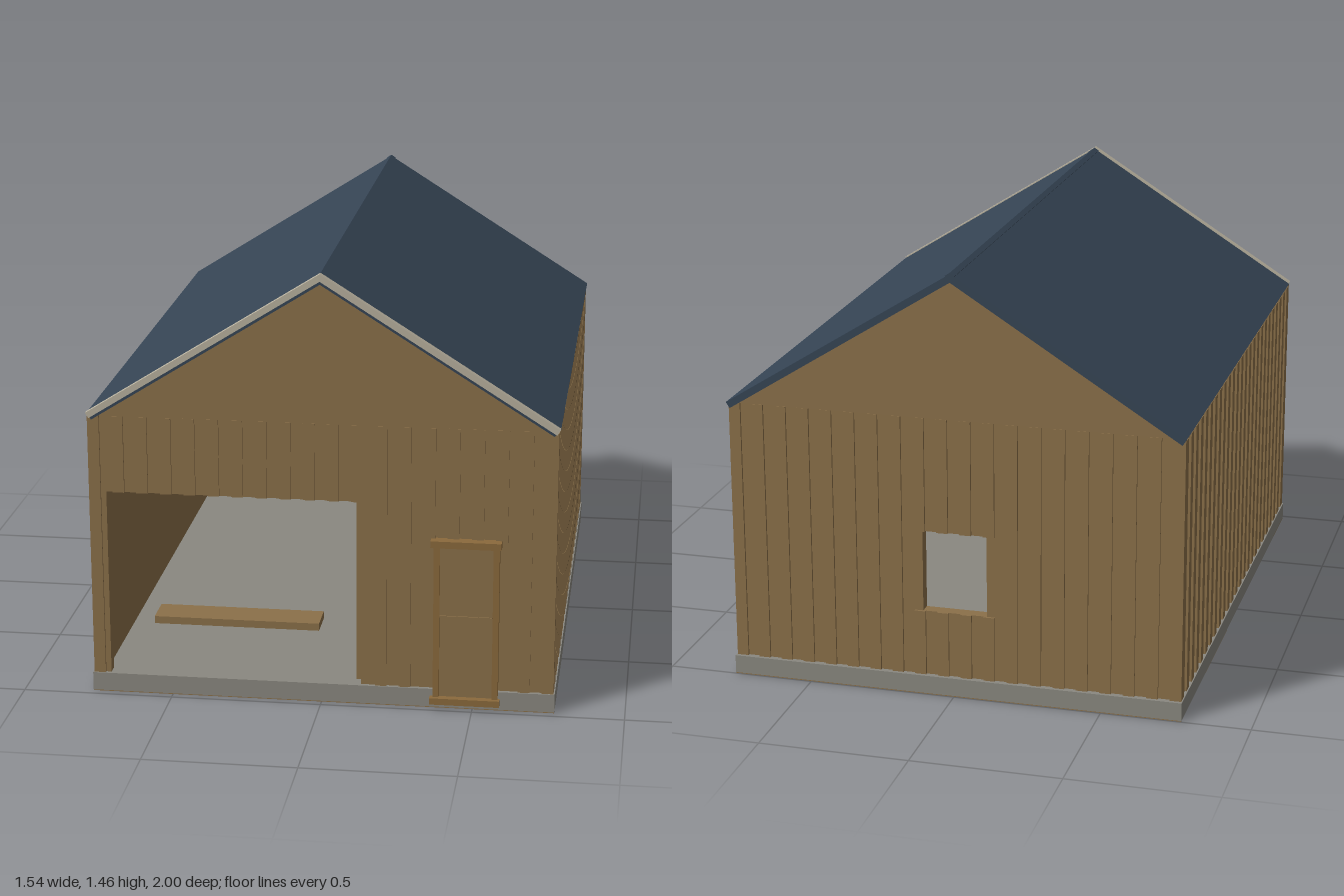
import * as THREE from 'three';

const mat = (name, color, side = THREE.FrontSide) => {
  const m = new THREE.MeshStandardMaterial({ color, side });
  m.name = name;
  return m;
};

export function createModel() {
  const house = new THREE.Group();
  house.name = 'timberShed';
  const wood = mat('wood', 0x8b7049);
  const doorWood = mat('doorWood', 0x8b6a3c);
  const stone = mat('concrete', 0x8a8880);
  const slate = mat('roofBlue', 0x354454);
  const cream = mat('creamTrim', 0xb8b19e);

  const add = (name, geo, material, parent = house) => {
    const mesh = new THREE.Mesh(geo, material);
    mesh.name = name;
    parent.add(mesh);
    return mesh;
  };
  // Box given by its lower and upper limits on each axis
  const box = (name, m, x0, x1, y0, y1, z0, z1, parent) => {
    const g = new THREE.BoxGeometry(x1 - x0, y1 - y0, z1 - z0);
    g.translate((x0 + x1) / 2, (y0 + y1) / 2, (z0 + z1) / 2);
    return add(name, g, m, parent);
  };
  // Outline in x,y extruded from z0 to z1, with optional rectangular holes
  const poly = (pts) => pts.map(([x, y]) => new THREE.Vector2(x, y));
  const slab = (name, m, pts, z0, z1, holes = []) => {
    const s = new THREE.Shape(poly(pts));
    for (const [a, b, c, d] of holes) s.holes.push(new THREE.Path(poly([[a, c], [a, d], [b, d], [b, c]])));
    const g = new THREE.ExtrudeGeometry(s, { depth: z1 - z0, bevelEnabled: false });
    g.translate(0, 0, z0);
    return add(name, g, m);
  };

  const FLOOR = 0.065, EAVE = 0.96, W = 0.758, BACK = -0.978, FRONT = 0.962, T = 0.04, PROUD = 0.008;

  // Base with a timber frame around its underside
  box('base', stone, -0.77, 0.77, 0.003, FLOOR, -0.998, 0.975);
  for (const s of [-1, 1]) {
    const x = s * 0.756;
    box('sillFrameSide', wood, x - 0.013, x + 0.013, 0, 0.004, -0.997, 0.974);
    const z = s > 0 ? 0.961 : -0.984;
    box('sillFrameEnd', wood, -0.743, 0.743, 0, 0.004, z - 0.013, z + 0.013);
  }

  // Wall shells
  const rect = [[-W, FLOOR], [W, FLOOR], [W, EAVE], [-W, EAVE]];
  const windowHole = [-0.11, 0.108, 0.29, 0.57];
  slab('backWall', wood, rect, BACK, BACK + T, [windowHole]);
  slab('frontWall', wood, [[-W, FLOOR], [-0.71, FLOOR], [-0.71, 0.7], [0.13, 0.7], [0.13, FLOOR],
    [W, FLOOR], [W, EAVE], [-W, EAVE]], FRONT - T, FRONT);
  for (const s of [-1, 1]) {
    const x = s * (W - 0.015);
    box('sideWall', wood, x - 0.015, x + 0.015, FLOOR, EAVE - 0.01, BACK + T, FRONT - T);
  }
  box('ceiling', wood, -W + 0.03, W - 0.03, EAVE - 0.015, EAVE, BACK + T, FRONT - T);
  box('openingPost', wood, 0.11, 0.15, FLOOR, 0.72, FRONT - T - 0.04, FRONT - T);

  // Proud cladding boards, split around any opening [x0, x1, y0, y1]
  const PITCH = 0.077, BOARD = 0.0385;
  const cladding = (name, half, top, holes, place) => {
    const group = new THREE.Group();
    group.name = name;
    house.add(group);
    const n = Math.floor((2 * half - BOARD) / PITCH);
    const pitch = (2 * half - BOARD) / n;
    for (let i = 0; i <= n; i++) {
      const a = -half + i * pitch, b = a + BOARD;
      const hole = holes.find((h) => a < h[1] && b > h[0]);
      const spans = hole ? [[FLOOR, hole[2]], [hole[3], top]] : [[FLOOR, top]];
      for (const [y0, y1] of spans) if (y1 - y0 > 0.001) place(group, a, b, y0, y1);
    }
  };
  const frontHoles = [[-0.71, 0.13, FLOOR, 0.7], [0.37, 0.58, FLOOR, 0.58]];
  cladding('frontCladding', W + PROUD, EAVE, frontHoles, (g, a, b, y0, y1) =>
    box('board', wood, a, b, y0, y1, FRONT, FRONT + PROUD, g));
  cladding('backCladding', W + PROUD, EAVE, [windowHole], (g, a, b, y0, y1) =>
    box('board', wood, a, b, y0, y1, BACK - PROUD, BACK, g));
  const mid = (FRONT + BACK) / 2, halfLen = (FRONT - BACK) / 2;
  for (const s of [-1, 1]) {
    cladding('sideCladding', halfLen, EAVE - 0.006, [], (g, a, b, y0, y1) =>
      box('board', wood, Math.min(s * W, s * (W + PROUD)), Math.max(s * W, s * (W + PROUD)),
        y0, y1, a + mid, b + mid, g));
  }

  // Gables
  const gable = [[-0.75, EAVE], [0.75, EAVE], [0, 1.43]];
  slab('frontGable', wood, gable, FRONT - T, FRONT + 0.006);
  slab('backGable', wood, gable, BACK - 0.006, BACK + T);

  // Roof, ridge cap and front barge boards share one chevron outline
  const chevron = (top, thick, x, slope = 0.63) => {
    const dx = Math.min(thick * 0.45, x * 0.5), xi = x - dx;
    return [[0, top], [-x, top - slope * x], [-xi, top - thick - slope * xi],
      [0, top - thick], [xi, top - thick - slope * xi], [x, top - slope * x]];
  };
  slab('roof', slate, chevron(1.45, 0.028, 0.77), -1, 0.953);
  slab('ridgeCap', slate, chevron(1.454, 0.012, 0.016), -1, 0.953);
  slab('roofEdge', slate, chevron(1.432, 0.012, 0.757), 0.953, 0.972);
  slab('bargeBoards', cream, chevron(1.455, 0.024, 0.77), 0.953, 0.977);

  // Bench inside the open bay
  box('bench', wood, -0.575, -0.02, 0.215, 0.24, 0.77, 0.885);

  // Door with jambs, rail, lintel and step
  box('doorPanel', wood, 0.38, 0.57, 0.04, 0.57, FRONT, FRONT + 0.014);
  box('doorRail', wood, 0.39, 0.562, 0.313, 0.325, FRONT, FRONT + 0.018);
  for (const x of [0.38, 0.574]) box('doorJamb', doorWood, x - 0.01, x + 0.01, 0.015, 0.565, FRONT, 0.986);
  box('doorLintel', doorWood, 0.36, 0.59, 0.565, 0.588, FRONT, 1);
  box('doorStep', doorWood, 0.36, 0.59, 0.02, 0.042, FRONT, 1);

  return house;
}
